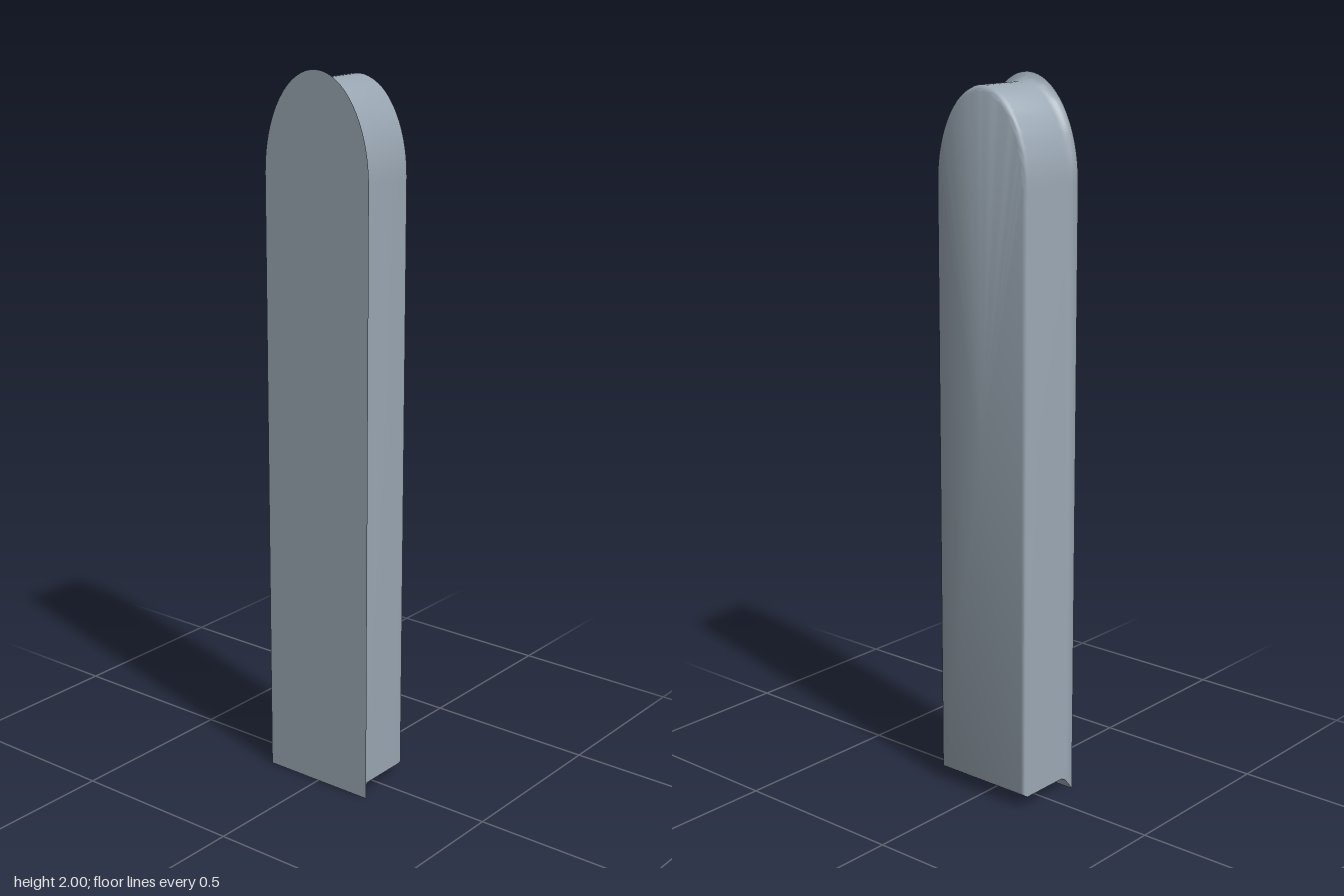
import * as THREE from 'three';
import { toCreasedNormals } from 'three/addons/utils/BufferGeometryUtils.js';

const ARCH_STEPS = 32;

// Outline of a slab with an elliptical top, counter-clockwise seen from the front
function archOutline(halfWidth, bottom, top, shoulder) {
  const points = [[-halfWidth, bottom], [halfWidth, bottom]];
  for (let i = 0; i <= ARCH_STEPS; i++) {
    const a = (i / ARCH_STEPS) * Math.PI;
    points.push([halfWidth * Math.cos(a), shoulder + (top - shoulder) * Math.sin(a)]);
  }
  return points;
}

// Cross-sections from front to back: z, half width, bottom, top
const sections = [
  [0.096, 0.172, 0.0, 2.0],
  [0.089, 0.162, 0.017, 1.986],
  [0.081, 0.158, 0.028, 1.98],
  [0.068, 0.156, 0.034, 1.976],
  [-0.081, 0.156, 0.034, 1.976],
  [-0.088, 0.154, 0.037, 1.973],
  [-0.093, 0.15, 0.042, 1.968],
  [-0.096, 0.143, 0.049, 1.961],
];

function loftGeometry() {
  const positions = [];
  const index = [];
  const count = ARCH_STEPS + 3;
  for (const [z, halfWidth, bottom, top] of sections) {
    for (const [x, y] of archOutline(halfWidth, bottom, top, 1.72)) positions.push(x, y, z);
  }

  // Flared rim, straight walls and rounded back edge
  for (let s = 0; s < sections.length - 1; s++) {
    for (let i = 0; i < count; i++) {
      const a = s * count + i;
      const b = s * count + ((i + 1) % count);
      index.push(a, a + count, b, b, a + count, b + count);
    }
  }

  // Flat front and back faces
  const last = (sections.length - 1) * count;
  const front = positions.length / 3;
  positions.push(0, 1, sections[0][0], 0, 1, sections[sections.length - 1][0]);
  for (let i = 0; i < count; i++) {
    const j = (i + 1) % count;
    index.push(front, i, j, front + 1, last + j, last + i);
  }

  const geometry = new THREE.BufferGeometry();
  geometry.setAttribute('position', new THREE.Float32BufferAttribute(positions, 3));
  geometry.setIndex(index);
  return toCreasedNormals(geometry, 0.62);
}

export function createModel() {
  const group = new THREE.Group();
  group.name = 'archedPanel';
  const blueGrey = new THREE.MeshStandardMaterial({ color: 0x9aa7b3 });
  blueGrey.name = 'blue grey';

  const body = new THREE.Mesh(loftGeometry(), blueGrey);
  body.name = 'archedBody';
  group.add(body);
  return group;
}
